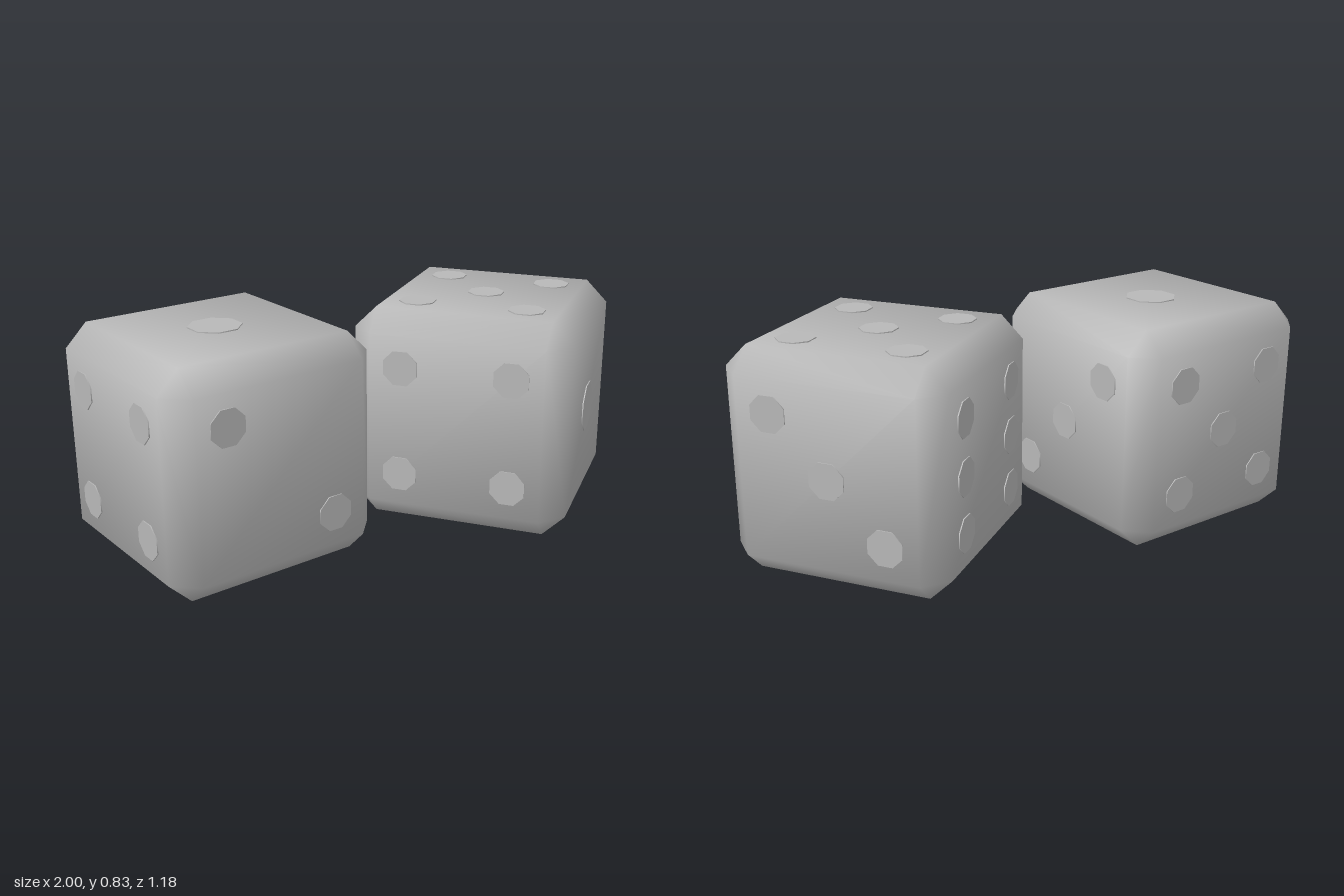
import * as THREE from 'three';
import { ConvexGeometry } from 'three/addons/geometries/ConvexGeometry.js';

const HALF = 0.412;    // half the width of a die
const BEVEL = 0.083;   // chamfer width
const STEP = 0.208;    // spacing of the pips
const PIP_H = 0.004;   // how far a pip stands out

const grey = new THREE.MeshStandardMaterial({ color: 0xb8b8b8 });
grey.name = 'lightGrey';

// Pip positions on a face, in steps
const two = [[-1, 1], [1, -1]];
const four = [...two, [1, 1], [-1, -1]];
const PIPS = {
  1: [[0, 0]],
  2: two,
  3: [...two, [0, 0]],
  4: four,
  5: [...four, [0, 0]],
  6: [...four, [-1, 0], [1, 0]],
};

// Chamfered cube, shaded softly from face to face
function chamferedCube() {
  const inner = HALF - BEVEL;
  const points = [];
  for (const x of [-1, 1]) for (const y of [-1, 1]) for (const z of [-1, 1]) {
    points.push(
      new THREE.Vector3(x * HALF, y * inner, z * inner),
      new THREE.Vector3(x * inner, y * HALF, z * inner),
      new THREE.Vector3(x * inner, y * inner, z * HALF));
  }
  const geo = new ConvexGeometry(points);
  // Each corner normal is the even average of the face, bevels and corner it touches
  const { position, normal } = geo.attributes;
  const lean = (c) => Math.sign(c) * (Math.abs(c) > HALF - BEVEL / 2 ? 2.33 : 1);
  const n = new THREE.Vector3();
  for (let i = 0; i < position.count; i++) {
    n.set(lean(position.getX(i)), lean(position.getY(i)), lean(position.getZ(i))).normalize();
    normal.setXYZ(i, n.x, n.y, n.z);
  }
  return geo;
}

// Octagonal pip lying on the +z side, flat edge up
function pipGeometry(radius) {
  const geo = new THREE.CylinderGeometry(radius, radius, PIP_H * 2, 8);
  geo.rotateY(Math.PI / 8);
  geo.rotateX(Math.PI / 2);
  return geo;
}

// Turn of each face about x and y
const FACES = {
  front: [0, 0], right: [0, Math.PI / 2], back: [0, Math.PI], left: [0, -Math.PI / 2],
  top: [-Math.PI / 2, 0], bottom: [Math.PI / 2, 0],
};

// layout: face -> [count, mirrored]
function makeDie(name, layout) {
  const die = new THREE.Group();
  die.name = name;
  const body = new THREE.Mesh(chamferedCube(), grey);
  body.name = 'dieBody';
  die.add(body);
  const small = pipGeometry(0.07), large = pipGeometry(0.097);
  for (const [side, [count, mirrored]] of Object.entries(layout)) {
    const face = new THREE.Group();
    face.name = side + 'Pips';
    face.rotation.set(FACES[side][0], FACES[side][1], 0);
    for (const [u, v] of PIPS[count]) {
      const pip = new THREE.Mesh(count === 1 ? large : small, grey);
      pip.name = 'pip';
      pip.position.set(u * STEP * (mirrored ? -1 : 1), v * STEP, HALF);
      face.add(pip);
    }
    die.add(face);
  }
  return die;
}

export function createModel() {
  const model = new THREE.Group();
  model.name = 'pairOfDice';

  // Straight die
  const straight = makeDie('straightDie', {
    top: [1], front: [2], right: [3, true], left: [4], back: [5], bottom: [6],
  });
  straight.position.set(-0.584, HALF + PIP_H, -0.175);

  // Turned die
  const turned = makeDie('turnedDie', {
    front: [1], bottom: [2], right: [3], left: [4], top: [5], back: [6],
  });
  turned.position.set(0.476, HALF + PIP_H, 0.065);
  turned.rotation.y = THREE.MathUtils.degToRad(32.2);

  model.add(straight, turned);
  return model;
}
